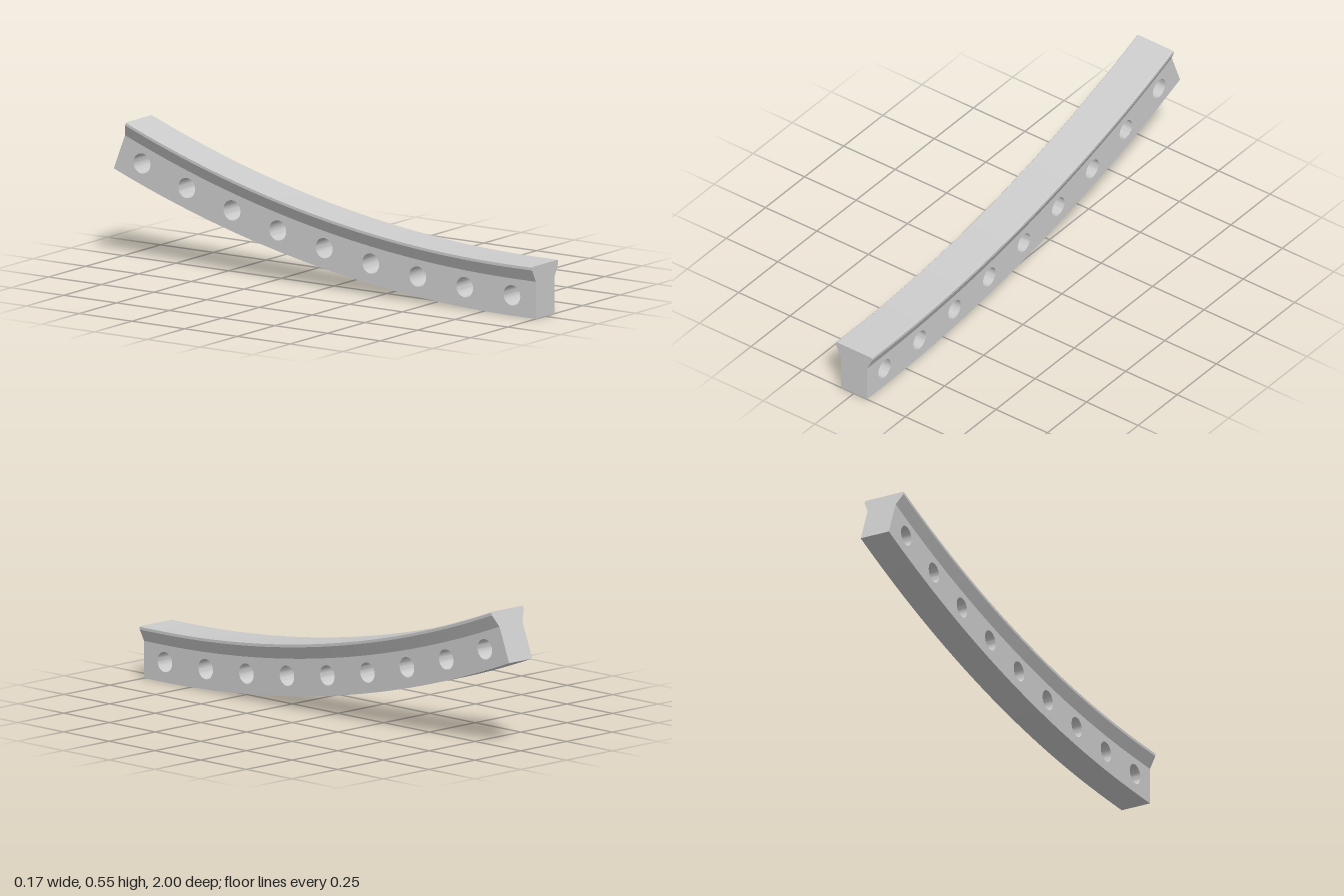
import * as THREE from 'three';
import { toCreasedNormals } from 'three/addons/utils/BufferGeometryUtils.js';

const LEAD = 0.1;        // short straight run at the front
const RADIUS = 5.262;    // bend radius of the underside
const LENGTH = 2.044;    // length along the underside
const STEPS = 36;
const HOLES = 9;
const WEB_HALF = 0.063, WEB_TOP = 0.147;

// Point in the side plane: s along the underside, h above it; x runs to the back.
function bend(s, h) {
  if (s < LEAD) return new THREE.Vector2(s - 1, h);
  const a = (s - LEAD) / RADIUS, r = RADIUS - h;
  return new THREE.Vector2(LEAD - 1 + r * Math.sin(a), RADIUS - r * Math.cos(a));
}

// Lower web: curved side outline with a row of through holes
function webGeometry() {
  const lower = [], upper = [];
  for (let i = 0; i <= STEPS; i++) {
    const s = (i / STEPS) * LENGTH;
    lower.push(bend(s, 0));
    upper.unshift(bend(s, WEB_TOP));
  }
  const shape = new THREE.Shape([...lower, ...upper]);
  for (let i = 0; i < HOLES; i++) {
    const c = bend(((i + 0.5) / HOLES) * LENGTH, 0.08);
    const hole = new THREE.Path();
    hole.absarc(c.x, c.y, 0.04, 0, Math.PI * 2, true);
    shape.holes.push(hole);
  }
  const geo = new THREE.ExtrudeGeometry(shape, { depth: 2 * WEB_HALF, bevelEnabled: false, curveSegments: 16 });
  geo.translate(0, 0, -WEB_HALF);
  geo.rotateY(Math.PI / 2);
  return toCreasedNormals(geo, 0.45);
}

// Flared head: cross-section extruded straight, then bent along the rail
function headGeometry() {
  const half = [[WEB_HALF, WEB_TOP], [0.087, 0.195], [0.087, 0.206], [0.084, 0.209]];
  const right = half.map(([x, y]) => new THREE.Vector2(x, y));
  const left = half.map(([x, y]) => new THREE.Vector2(-x, y)).reverse();
  const geo = new THREE.ExtrudeGeometry(new THREE.Shape([...right, ...left]), {
    depth: LENGTH, steps: STEPS, bevelEnabled: false,
  });
  const pos = geo.attributes.position;
  for (let i = 0; i < pos.count; i++) {
    const p = bend(LENGTH - pos.getZ(i), pos.getY(i));
    pos.setXYZ(i, pos.getX(i), p.y, -p.x);
  }
  return toCreasedNormals(geo, 0.3);
}

export function createModel() {
  const group = new THREE.Group();
  group.name = 'curvedRail';
  const material = new THREE.MeshStandardMaterial({ color: 0xcccccc });
  const parts = { drilledWeb: webGeometry(), flaredHead: headGeometry() };
  for (const [name, geometry] of Object.entries(parts)) {
    const mesh = new THREE.Mesh(geometry, material);
    mesh.name = name;
    group.add(mesh);
  }
  return group;
}
